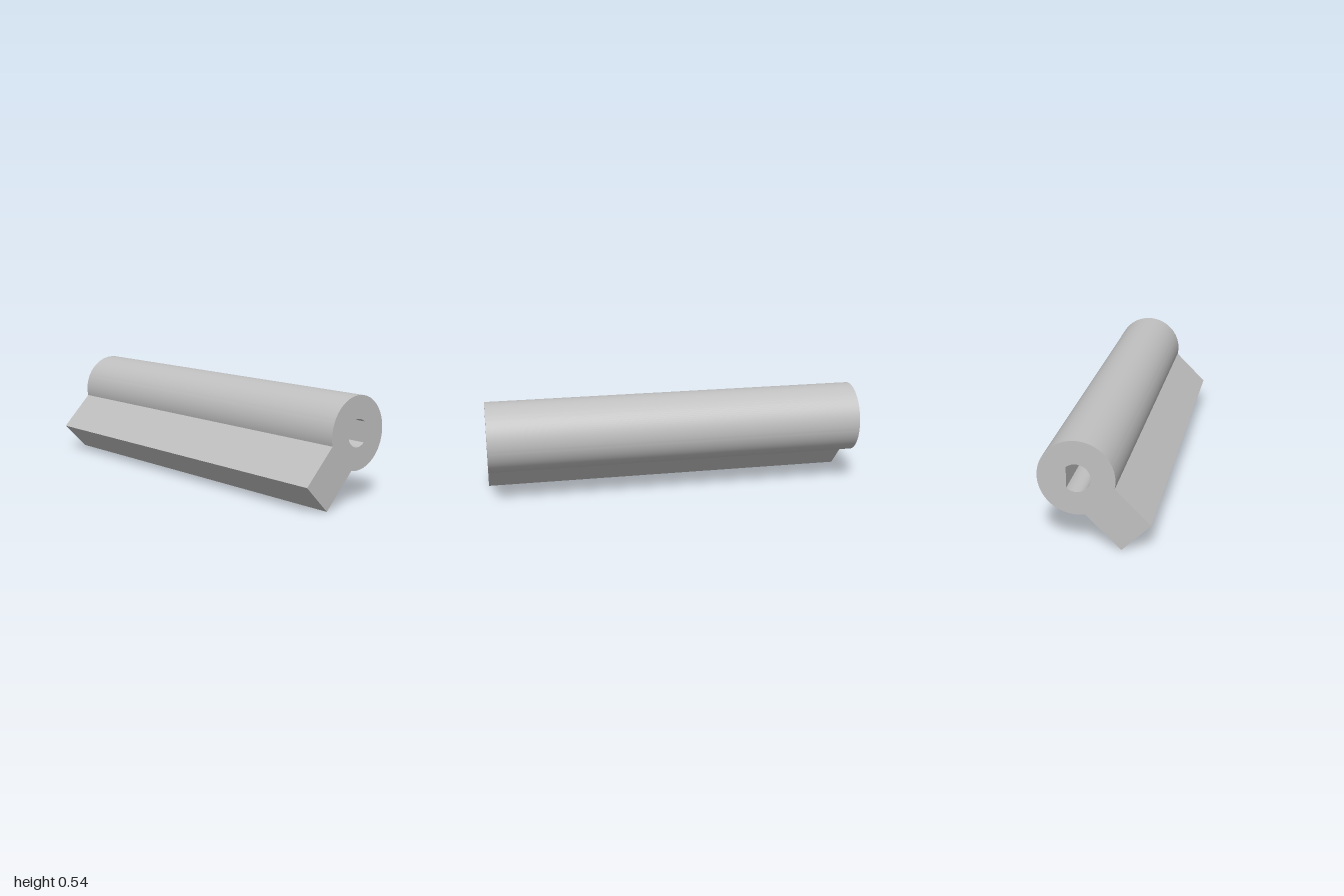
import * as THREE from 'three';
import { toCreasedNormals } from 'three/addons/utils/BufferGeometryUtils.js';

const LENGTH = 2;
const R = 0.1865; // barrel radius
const BORE = 0.07; // bore radius
const FLAT = 0.0465; // distance of the bore's flat from its axis
const HALF = 0.1; // half the width of the arm
const REACH = 0.4; // barrel axis to arm end
const CX = 0.0835, CY = 0.3535;

export function createModel() {
  const grey = new THREE.MeshStandardMaterial({ color: 0xc0c0c0 });
  grey.name = 'grey';

  // Barrel outline joined to an arm pointing down at 45 degrees
  const arm = Math.PI * 1.25;
  const join = Math.asin(HALF / R);
  const corner = (side) => [
    CX + REACH * Math.cos(arm) - side * HALF * Math.sin(arm),
    CY + REACH * Math.sin(arm) + side * HALF * Math.cos(arm),
  ];
  const profile = new THREE.Shape();
  profile.absarc(CX, CY, R, arm + join - 2 * Math.PI, arm - join, false);
  profile.lineTo(...corner(-1));
  profile.lineTo(...corner(1));
  profile.closePath();

  // D-shaped bore right through the barrel
  const a = Math.acos(FLAT / BORE);
  const bore = new THREE.Path();
  bore.absarc(CX, CY, BORE, a, 2 * Math.PI - a, false);
  bore.closePath();
  profile.holes.push(bore);

  const geometry = new THREE.ExtrudeGeometry(profile, {
    depth: LENGTH, bevelEnabled: false, curveSegments: 48,
  });
  geometry.translate(0, 0, -LENGTH / 2);

  const body = new THREE.Mesh(toCreasedNormals(geometry, 0.5), grey);
  body.name = 'boredBarrelWithArm';

  const group = new THREE.Group();
  group.name = 'hingeProfile';
  group.add(body);
  return group;
}
